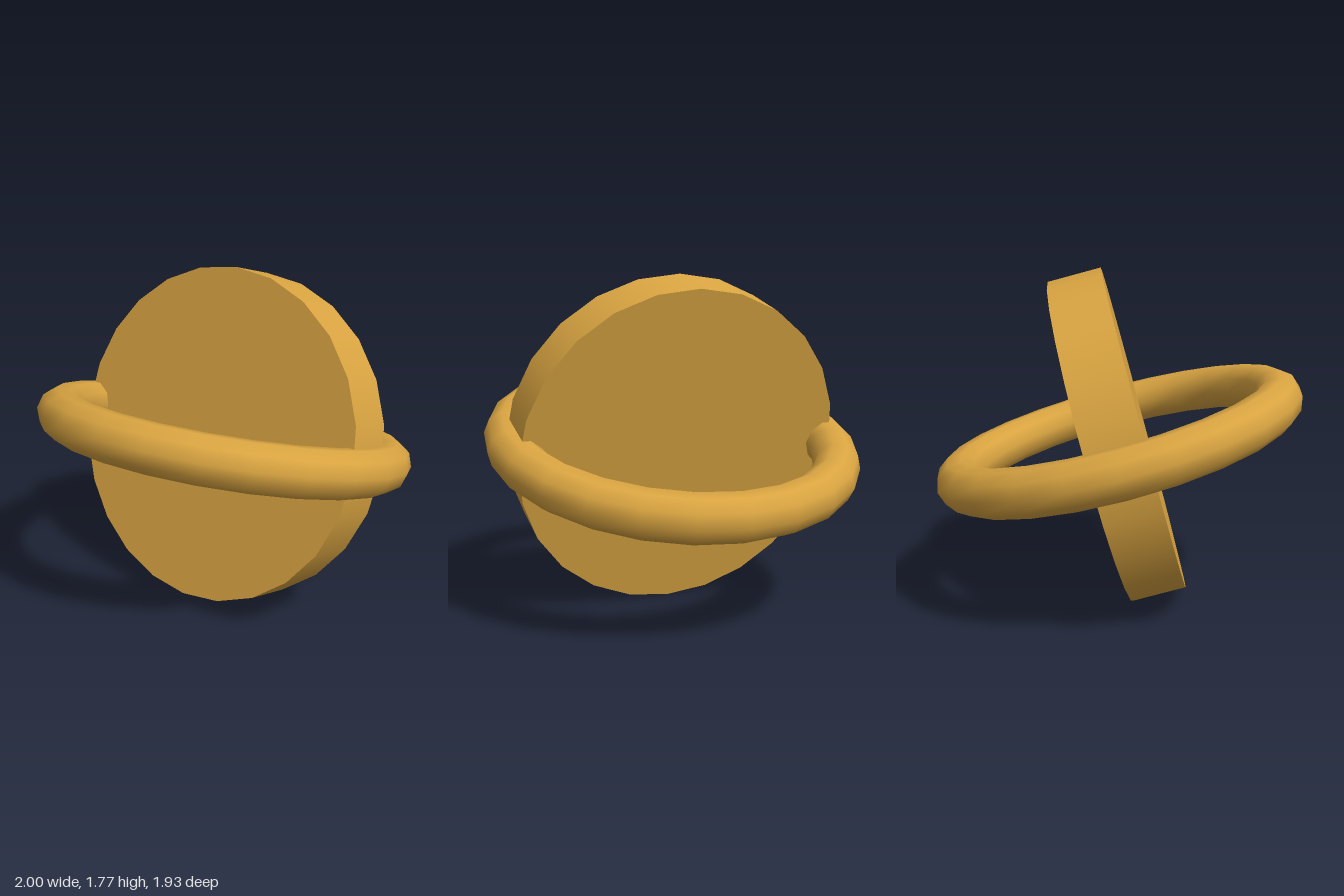
import * as THREE from 'three';

const RADIUS = 0.877; // shared by the disc and the ring's centre line
const TUBE = 0.123;
const THICKNESS = 0.285;
const TILT = THREE.MathUtils.degToRad(15);

export function createModel() {
  const model = new THREE.Group();
  const gold = new THREE.MeshStandardMaterial({ color: 0xd9a441 });

  // Disc and ring lean back together
  const emblem = new THREE.Group();
  emblem.name = 'tiltedEmblem';
  emblem.rotation.x = -TILT;
  emblem.position.y = RADIUS * Math.cos(TILT) + (THICKNESS / 2) * Math.sin(TILT);
  model.add(emblem);

  // Thick upright disc facing the front
  const disc = new THREE.Mesh(
    new THREE.CylinderGeometry(RADIUS, RADIUS, THICKNESS, 24).rotateX(Math.PI / 2),
    gold
  );
  disc.name = 'disc';
  emblem.add(disc);

  // Ring around the disc, square to it
  const ring = new THREE.Mesh(
    new THREE.TorusGeometry(RADIUS, TUBE, 10, 24).rotateX(Math.PI / 2),
    gold
  );
  ring.name = 'ring';
  emblem.add(ring);

  return model;
}
